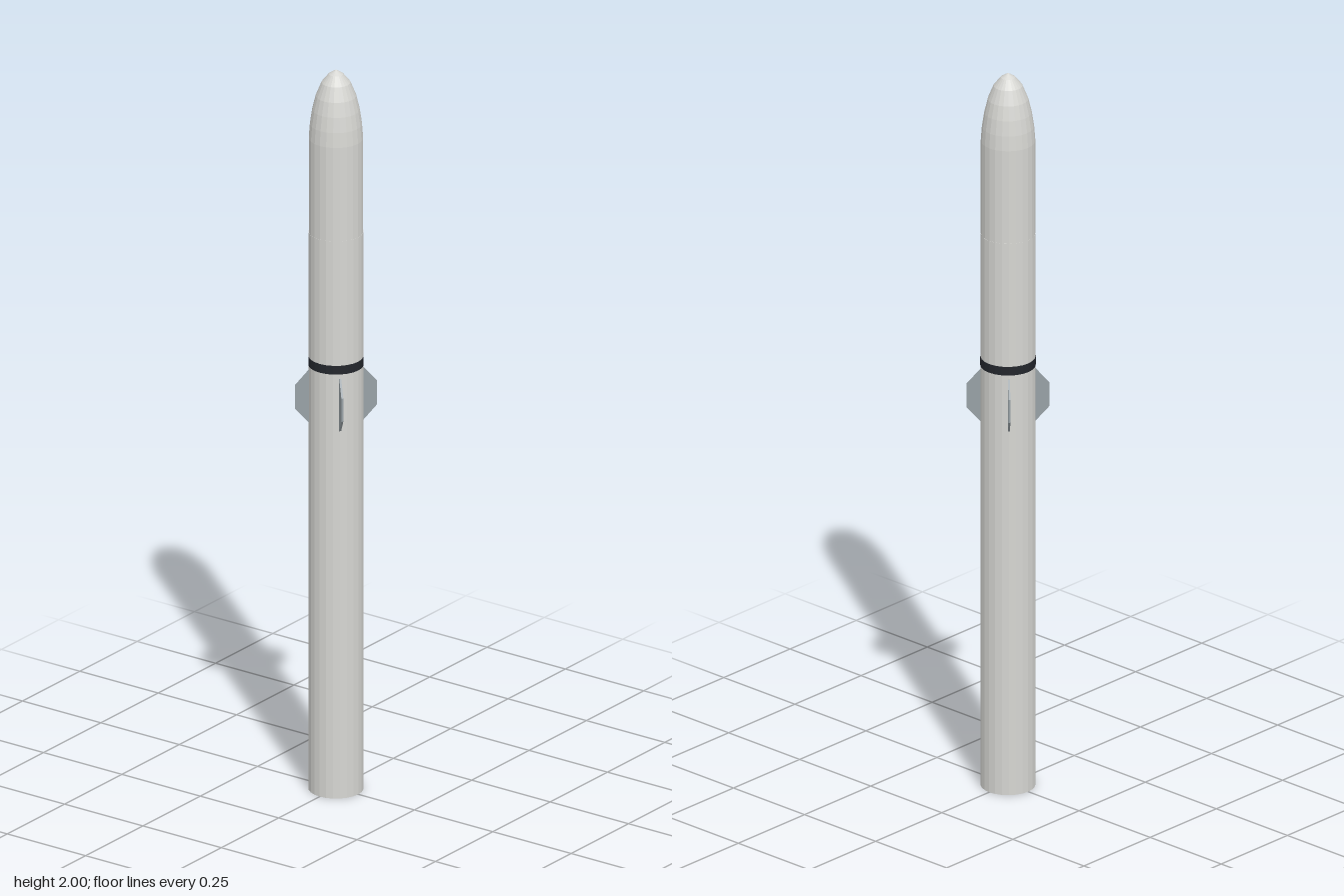
import * as THREE from 'three';

export function createModel() {
  const rocket = new THREE.Group();
  rocket.name = 'rocket';

  const makeMaterial = (name, color) => {
    const m = new THREE.MeshStandardMaterial({ color, flatShading: true });
    m.name = name;
    return m;
  };
  const hull = makeMaterial('hull light grey', 0xd6d6d2);
  const dark = makeMaterial('band black', 0x23262c);
  const finGrey = makeMaterial('fin grey', 0x98a1a6);

  const add = (name, geometry, material, y = 0) => {
    const mesh = new THREE.Mesh(geometry, material);
    mesh.name = name;
    mesh.position.y = y;
    rocket.add(mesh);
    return mesh;
  };

  // Lower stage: long closed tube
  const R = 0.071;
  add('lowerStage', new THREE.CylinderGeometry(R, R, 1.55, 24), hull, 0.775);

  // Interstage band
  add('interstageBand', new THREE.CylinderGeometry(0.0718, 0.0718, 0.024, 24), dark, 1.192);

  // Payload fairing: straight section curving into a pointed nose
  const profile = [
    [0, 1.55], [0.0705, 1.55], [0.0705, 1.81], [0.0675, 1.85], [0.0615, 1.89],
    [0.0525, 1.928], [0.0375, 1.965], [0.019, 1.988], [0, 2],
  ].map(([x, y]) => new THREE.Vector2(x, y));
  add('fairing', new THREE.LatheGeometry(profile, 24), hull);

  // Four trapezoid fins on the diagonals
  const thickness = 0.005;
  const outline = new THREE.Shape([
    [0.062, 1.02], [0.071, 1.022], [0.107, 1.063], [0.107, 1.127], [0.071, 1.168], [0.062, 1.17],
  ].map(([x, y]) => new THREE.Vector2(x, y)));
  const finGeometry = new THREE.ExtrudeGeometry(outline, { depth: thickness, bevelEnabled: false });
  finGeometry.translate(0, 0, -thickness / 2);
  for (let i = 0; i < 4; i++) {
    add('fin' + (i + 1), finGeometry, finGrey).rotation.y = Math.PI / 4 + (i * Math.PI) / 2;
  }

  return rocket;
}
